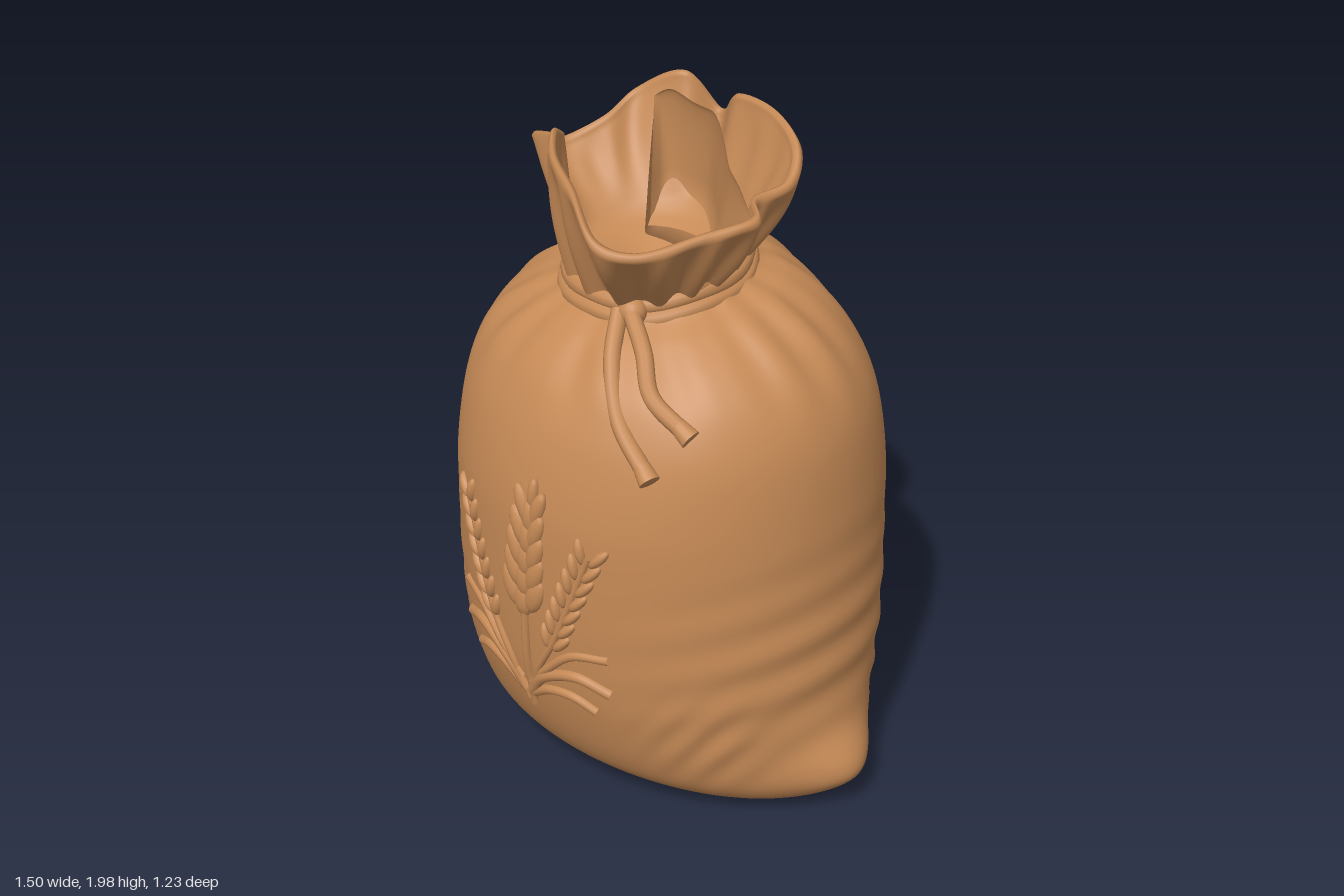
import * as THREE from 'three';

const cloth = new THREE.MeshStandardMaterial({ color: 0xc68a56 });
cloth.name = 'tan cloth';

const V = (x, y, z) => new THREE.Vector3(x, y, z);
const bump = (x, c, w) => Math.exp(-(((x - c) / w) ** 2));
const TILT = -0.17; // the neck leans towards the front

function mesh(name, geometry) {
  const m = new THREE.Mesh(geometry, cloth);
  m.name = name;
  return m;
}

// Smooth skin over a grid of points that closes around u
function loft(nu, nv, point) {
  const pos = [], idx = [];
  for (let j = 0; j <= nv; j++)
    for (let i = 0; i < nu; i++) pos.push(...point(i / nu, j / nv).toArray());
  for (let j = 0; j < nv; j++)
    for (let i = 0; i < nu; i++) {
      const n = (i + 1) % nu;
      const a = j * nu + i, b = j * nu + n, c = a + nu, d = b + nu;
      idx.push(a, c, b, b, c, d);
    }
  const g = new THREE.BufferGeometry();
  g.setAttribute('position', new THREE.Float32BufferAttribute(pos, 3));
  g.setIndex(idx);
  g.computeVertexNormals();
  return g;
}

// Body profile: half width, height, half depth
const profile = new THREE.CatmullRomCurve3([
  [0, 0.002, 0], [0.3, 0.004, 0.13], [0.5, 0.018, 0.25], [0.61, 0.045, 0.365],
  [0.65, 0.11, 0.455], [0.66, 0.2, 0.515], [0.665, 0.4, 0.578], [0.66, 0.6, 0.6],
  [0.65, 0.8, 0.607], [0.642, 1.0, 0.6], [0.615, 1.2, 0.555], [0.565, 1.32, 0.5],
  [0.48, 1.42, 0.43], [0.37, 1.5, 0.345], [0.28, 1.545, 0.27], [0.24, 1.58, 0.24],
].map((p) => V(...p)), false, 'centripetal');
const rows = profile.getPoints(240);

function bodyPoint(u, v) {
  const a = u * Math.PI * 2, p = profile.getPoint(v), y = p.y;
  const c = Math.cos(a), s = Math.sin(a);
  const neck = THREE.MathUtils.smoothstep(y, 1.25, 1.56);
  // gathers below the cord
  const g = Math.sin(13 * a + 1.5 * Math.sin(3 * a)) + 0.5 * Math.sin(21 * a + 1);
  let k = 1 + 0.022 * g * bump(y, 1.47, 0.12);
  // sagging creases along both sides
  const side = Math.abs(c) ** 3 * bump(y, 0.55, 0.25);
  k += 0.009 * side * Math.sin(y * 42 + 5 * s * s + (c > 0 ? 0 : 2) + s);
  // slanting creases above the front corners
  k += 0.008 * bump(Math.abs(c), 0.75, 0.18) * bump(y, 0.3, 0.14) * Math.sin((y - Math.abs(c)) * 45);
  let x = p.x * c * k;
  const z = p.z * s * k + 0.05 * neck;
  // puffed lower corners
  x += Math.sign(c) * 0.093 * bump(y, 0.145, y < 0.145 ? 0.1 : 0.12) * bump(z, -0.03, 0.17);
  return V(x, y + TILT * (z - 0.05) * neck, z);
}

// Point on the front (dir 1) or back (dir -1) of the body
function onBody(x, y, lift = 0, dir = 1) {
  const p = rows.find((r) => r.y >= y && r.x > 0.5);
  const z = p.z * Math.sqrt(1 - (x / p.x) ** 2);
  return V(x, y, dir * (z + lift));
}

function tube(name, points, radius) {
  return mesh(name, new THREE.TubeGeometry(new THREE.CatmullRomCurve3(points), 24, radius, 10));
}

// Flared ruffle: outer skin, rolled rim, inner skin and floor
const rim = new THREE.CatmullRomCurve3([
  [0.43, 1.82, 0.1], [0.38, 1.8, 0.24], [0.29, 1.77, 0.42], [0.2, 1.79, 0.47],
  [0.05, 1.88, 0.42], [-0.09, 1.92, 0.36], [-0.19, 1.94, 0.27], [-0.25, 1.89, 0.19],
  [-0.37, 1.86, 0.18], [-0.42, 1.79, 0.06], [-0.36, 1.84, -0.08], [-0.34, 1.9, -0.19],
  [-0.2, 1.97, -0.26], [-0.12, 1.86, -0.33], [0, 1.95, -0.275], [0.15, 1.95, -0.26],
  [0.3, 1.9, -0.2], [0.355, 1.84, -0.11], [0.335, 1.82, 0],
].map((p) => V(...p)), true, 'centripetal');

function rufflePoint(u, v) {
  const top = rim.getPoint(u);
  const a = Math.atan2(top.z - 0.06, top.x);
  const w = v * 46;
  const inner = w > 20;
  const h = inner ? THREE.MathUtils.clamp((36 - w) / 14, 0, 1) : Math.min(1, w / 18);
  const pleat = Math.sin(17 * a + 2 * Math.sin(2 * a));
  const r = 0.235 + (inner ? 0 : 0.012 * pleat);
  const low = V(r * Math.cos(a), 0, 0.06 + r * Math.sin(a));
  low.y = 1.56 + TILT * (low.z - 0.06) + (inner ? 0.06 : 0);
  const p = low.lerp(top, h);
  let k = 1 + Math.sin(h * Math.PI) * (0.03 + (inner ? 0.025 * h : 0.045) * pleat);
  if (inner) k -= 0.07;
  else if (w > 18) k -= 0.035 * (w - 18) / 2;
  if (w > 18 && w < 22) p.y += 0.016 * Math.sin(((w - 18) / 4) * Math.PI);
  // floor rounds off into a shallow bowl
  const f = Math.max(0, (w - 36) / 10);
  k *= 1 - f;
  const floorY = 1.58 - 0.05 * f;
  return V(p.x * k, THREE.MathUtils.lerp(p.y, floorY, Math.sqrt(f)), 0.06 + (p.z - 0.06) * k);
}

// Fold of cloth curling inside the mouth, from its left end to the right wall
const fold = new THREE.CatmullRomCurve3([
  V(-0.18, 1.95, -0.11), V(-0.1, 1.975, -0.13), V(0.02, 1.96, -0.125),
  V(0.13, 1.92, -0.07), V(0.23, 1.87, 0), V(0.36, 1.81, 0.06),
]);

// Upright sheet with a rounded top edge and a wide foot
function foldPoint(u, v) {
  const a = v * Math.PI; // over the top edge, from the back face to the front face
  const p = fold.getPoint(u);
  const end = Math.sqrt(Math.max(0, 1 - Math.abs(2 * u - 1) ** 10));
  const height = Math.sin(a) ** 0.45;
  const foot = 0.03 + 0.05 * (1 - height);
  const lean = 0.06 * (1 - height);
  return V(
    p.x * (0.75 + 0.25 * height) - Math.cos(a) * foot * 0.4 * end,
    1.6 + (p.y - 1.6) * height + 0.012 * Math.sin(u * 16) * height,
    p.z + lean - Math.cos(a) * foot * end,
  );
}

// Raised seed or leaf lying on the body
function grain(x, y, length, width, angle, dir = 1) {
  const m = mesh('grain', new THREE.SphereGeometry(1, 12, 8));
  m.scale.set(width, length, 0.02);
  m.position.copy(onBody(x, y, -0.003, dir));
  m.rotation.set(0, Math.atan2(x, 0.7 * dir), 0);
  m.rotateZ(angle);
  return m;
}

export function createModel() {
  const model = new THREE.Group();
  model.name = 'tiedSack';
  model.add(mesh('sackBody', loft(180, 150, bodyPoint)));
  model.add(mesh('ruffle', loft(220, 46, rufflePoint)));
  model.add(mesh('innerFold', loft(32, 48, (u, v) => foldPoint(v, u * 32 / 31))));

  // Two strands of cord around the neck
  const cord = new THREE.Group();
  cord.name = 'cord';
  for (const [y, r] of [[1.54, 0.25], [1.578, 0.24]]) {
    const pts = [];
    for (let i = 0; i < 24; i++) {
      const a = (i / 24) * Math.PI * 2;
      const z = r * Math.sin(a);
      pts.push(V(r * 1.02 * Math.cos(a), y + TILT * z + 0.005 * Math.sin(5 * a), 0.05 + z));
    }
    cord.add(mesh('cordStrand', new THREE.TubeGeometry(new THREE.CatmullRomCurve3(pts, true), 96, 0.029, 10, true)));
  }
  const knot = mesh('knot', new THREE.SphereGeometry(0.04, 16, 12));
  knot.position.set(0.14, 1.53, 0.28);
  cord.add(knot);
  // Hanging ends with blunt tips
  const tails = [
    [V(0.11, 1.53, 0.3), V(0.17, 1.43, 0.385), V(0.26, 1.3, 0.445), V(0.38, 1.2, 0.465)],
    [V(0.14, 1.54, 0.29), V(0.24, 1.46, 0.335), V(0.31, 1.37, 0.375), V(0.42, 1.3, 0.36)],
  ];
  for (const pts of tails) {
    cord.add(tube('cordEnd', pts, 0.024));
    const tip = mesh('cordTip', new THREE.CylinderGeometry(0.024, 0.03, 0.05, 16));
    tip.position.copy(pts[3]);
    tip.quaternion.setFromUnitVectors(V(0, -1, 0), pts[3].clone().sub(pts[2]).normalize());
    cord.add(tip);
  }
  model.add(cord);

  // Wheat sheaf relief on the front
  const wheat = new THREE.Group();
  wheat.name = 'wheatRelief';
  for (let i = 0; i < 5; i++) {
    const y = 0.7 + i * 0.07, w = 0.055 - i * 0.006, x = 0.025 + i * 0.008;
    for (const s of [-1, 1]) wheat.add(grain(x + s * w * 0.85, y + 0.03, 0.065, 0.032 - i * 0.002, -s * 0.35));
    wheat.add(grain(x, y, 0.055, 0.036 - i * 0.003, 0));
  }
  wheat.add(grain(0.065, 1.05, 0.055, 0.018, -0.1));
  for (const s of [-1, 1]) {
    // side ears
    for (let i = 0; i < 7; i++) {
      const t = i / 6, x = s * (0.13 + 0.12 * t), y = 0.6 + 0.32 * t;
      wheat.add(grain(x - s * 0.024, y + 0.012, 0.042, 0.016, s * 0.2));
      wheat.add(grain(x + s * 0.028, y, 0.042, 0.016, -s * 0.75));
    }
    // stalk and drooping leaves
    const line = (pts, r) => wheat.add(tube('stem', pts.map(([x, y]) => onBody(s * x, y, -0.002)), r));
    line([[0.01, 0.32], [0.05, 0.45], [0.13, 0.6], [0.25, 0.92]], 0.012);
    line([[0.01, 0.36], [0.08, 0.45], [0.2, 0.5], [0.3, 0.47]], 0.018);
    line([[0.02, 0.4], [0.1, 0.49], [0.19, 0.57], [0.3, 0.59]], 0.014);
    line([[0.02, 0.36], [0.1, 0.41], [0.18, 0.42], [0.25, 0.39]], 0.016);
  }
  wheat.add(tube('stem', [[0.01, 0.31], [0.02, 0.5], [0.03, 0.68]].map(([x, y]) => onBody(x, y, -0.002)), 0.014));
  model.add(wheat);

  // Rough flecks on the back
  const flecks = new THREE.Group();
  flecks.name = 'backFlecks';
  for (let i = 0; i < 12; i++) {
    const high = i % 3 === 0;
    const f = grain(0.22 + 0.05 * (i % 4), (high ? 0.68 : 0.34) + 0.017 * i, 0.045, 0.009, 0.1 * (i % 3), -1);
    f.scale.z = 0.01;
    flecks.add(f);
  }
  model.add(flecks);
  return model;
}
